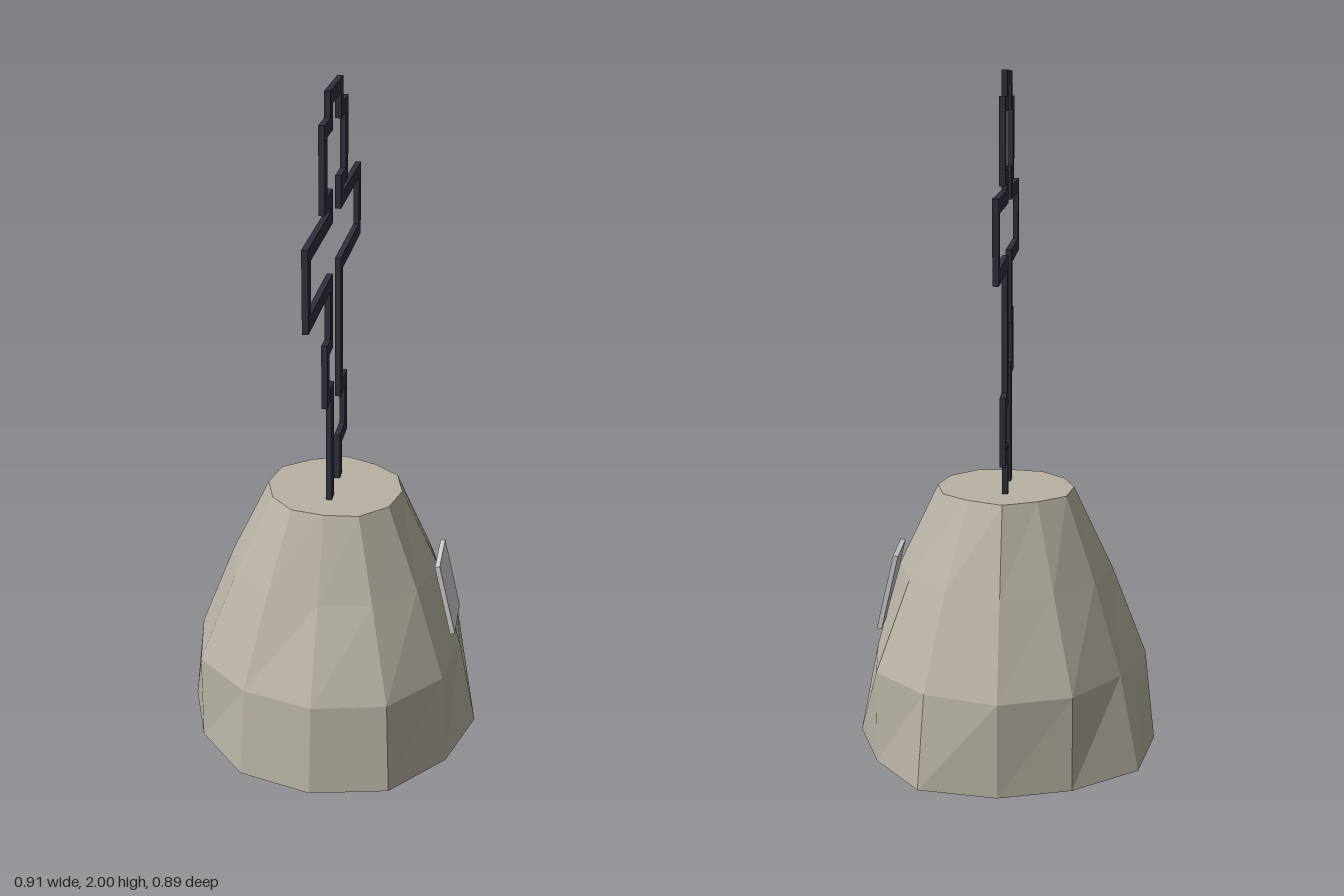
import * as THREE from 'three';

// Hand-hewn twelve-sided stone: rings run from the back (-z) round by +x
const RINGS = [
  { y: 0,
    x: [0, .23, .373, .454, .383, .23, 0, -.222, -.378, -.454, -.4, -.21],
    z: [-.43, -.395, -.217, 0, .222, .398, .447, .388, .217, 0, -.232, -.37] },
  { y: .28,
    x: [0, .212, .37, .398, .363, .217, 0, -.21, -.376, -.422, -.345, -.208],
    z: [-.43, -.368, -.217, 0, .2, .37, .417, .362, .217, 0, -.195, -.362] },
  { y: .55,
    x: [0, .16, .275, .323, .275, .157, 0, -.157, -.275, -.317, -.265, -.15],
    z: [-.317, -.27, -.16, 0, .155, .265, .285, .26, .155, 0, -.15, -.265] },
  { y: .795,
    x: [0, .1, .18, .207, .18, .102, 0, -.098, -.168, -.2, -.18, -.098],
    z: [-.212, -.17, -.105, 0, .105, .178, .188, .17, .098, 0, -.105, -.17] },
];

function stoneGeometry() {
  const pos = [];
  const tri = (...pts) => pts.forEach((p) => pos.push(...p));
  const at = (r, i) => [RINGS[r].x[i % 12], RINGS[r].y, RINGS[r].z[i % 12]];
  const last = RINGS.length - 1;
  for (let i = 0; i < 12; i++) {
    for (let r = 0; r < last; r++) {
      tri(at(r, i), at(r + 1, i), at(r, i + 1));
      tri(at(r, i + 1), at(r + 1, i), at(r + 1, i + 1));
    }
    tri([0, RINGS[last].y, 0], at(last, i + 1), at(last, i));
    tri([0, 0, 0], at(0, i), at(0, i + 1));
  }
  const geo = new THREE.BufferGeometry();
  geo.setAttribute('position', new THREE.Float32BufferAttribute(pos, 3));
  geo.computeVertexNormals();
  return geo;
}

// Centreline of the cross outline as (z, y), all segments square to each other
const CROSS = [
  [.07, .78], [.07, 1.14], [.143, 1.14], [.143, 1.29], [.09, 1.29], [.09, 1.47],
  [.423, 1.47], [.423, 1.655], [.088, 1.655], [.088, 1.71], [.175, 1.71], [.175, 1.91],
  [.088, 1.91], [.088, 1.98], [-.09, 1.98], [-.09, 1.91], [-.175, 1.91], [-.175, 1.71],
  [-.09, 1.71], [-.09, 1.655], [-.428, 1.655], [-.428, 1.47], [-.09, 1.47], [-.09, 1.08],
  [-.168, 1.08], [-.168, .92], [-.075, .92], [-.075, .78],
].map(([z, y]) => new THREE.Vector2(z, y));

// Offsets a square-cornered path sideways with mitred corners
function offsetPath(path, d) {
  const normal = (i) => {
    const t = path[i + 1].clone().sub(path[i]).normalize();
    return new THREE.Vector2(-t.y, t.x);
  };
  return path.map((p, i) => {
    const a = normal(Math.max(i - 1, 0));
    const b = normal(Math.min(i, path.length - 2));
    const shift = a.dot(b) > .5 ? a : a.add(b);
    return p.clone().addScaledVector(shift, d);
  });
}

function crossGeometry(barWidth, thickness) {
  const sideA = offsetPath(CROSS, barWidth / 2);
  const sideB = offsetPath(CROSS, -barWidth / 2).reverse();
  const geo = new THREE.ExtrudeGeometry(new THREE.Shape([...sideA, ...sideB]),
    { depth: thickness, bevelEnabled: false });
  geo.translate(0, 0, -thickness / 2);
  geo.rotateY(-Math.PI / 2);
  return geo;
}

export function createModel() {
  const model = new THREE.Group();
  model.name = 'stoneWithCross';
  const add = (name, geo, color) => {
    const mesh = new THREE.Mesh(geo, new THREE.MeshStandardMaterial({ color, flatShading: true }));
    mesh.name = name;
    model.add(mesh);
    return mesh;
  };

  add('stoneBase', stoneGeometry(), 0xb8b2a4);
  add('crossOutline', crossGeometry(.04, .017), 0x2f313d);

  // Plaque leaning against the +x face
  const plaque = add('plaque', new THREE.BoxGeometry(.015, .235, .17), 0xcccccc);
  plaque.position.set(.353, .48, 0);
  plaque.rotation.z = .227;

  return model;
}
